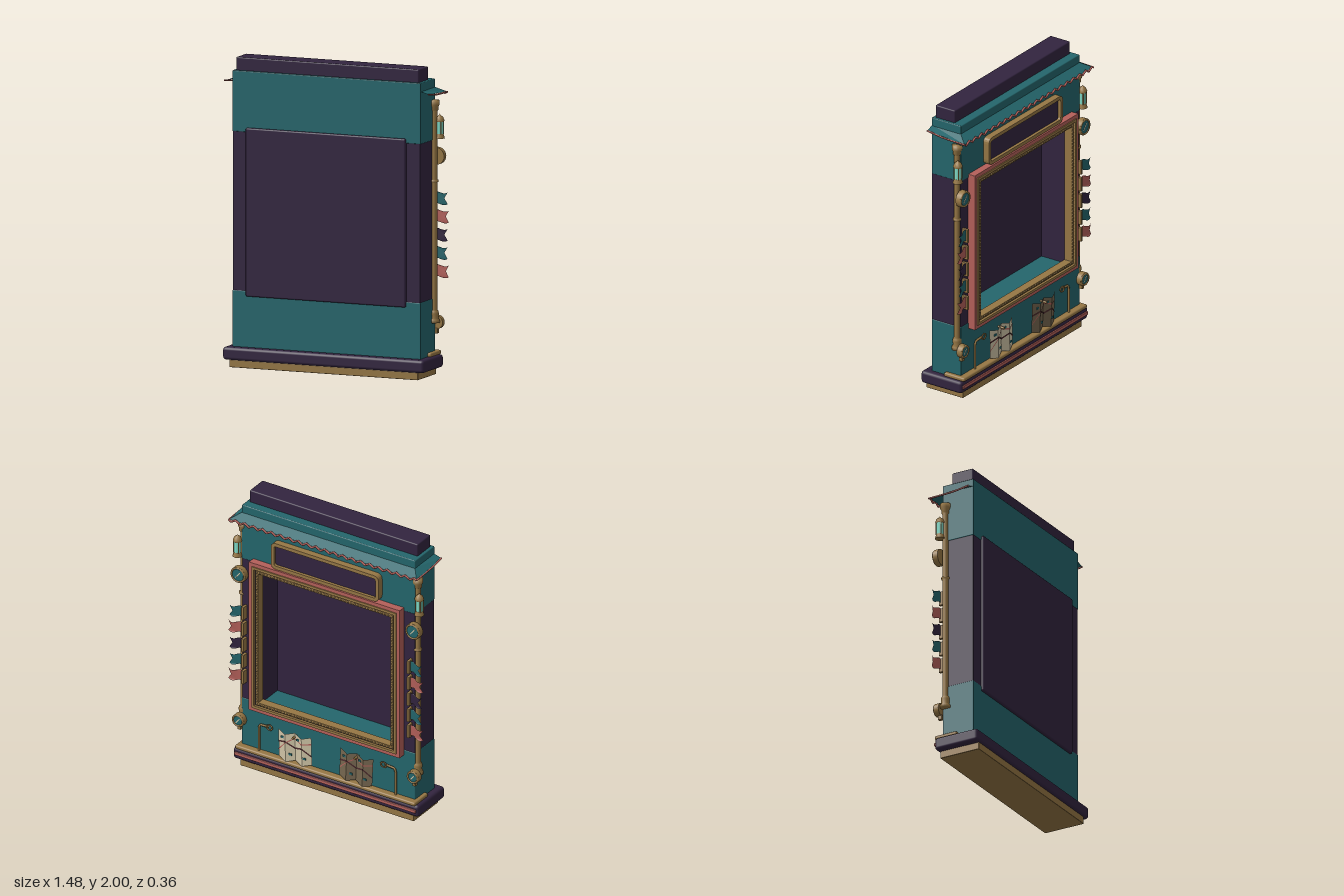
import * as THREE from 'three';
import { RoundedBoxGeometry } from 'three/addons/geometries/RoundedBoxGeometry.js';

function material(name, color, side = THREE.FrontSide) {
  const m = new THREE.MeshStandardMaterial({ color, side });
  m.name = name;
  return m;
}

export function createModel() {
  const root = new THREE.Group();
  root.name = 'displayBooth';
  const D = THREE.DoubleSide;
  const teal = material('teal', 0x24666c, D), purple = material('dark purple', 0x32243f, D);
  const gold = material('old gold', 0x967745), red = material('faded red', 0xb4605a, D);
  const mint = material('mint glass', 0x80dcc8), cream = material('cream paper', 0xcfc4a6, D);
  const brown = material('brown paper', 0x75664f, D), ink = material('dark ink', 0x4a2a2c, D);

  const add = (name, geo, mat, x = 0, y = 0, z = 0, parent = root) => {
    const m = new THREE.Mesh(geo, mat);
    m.name = name;
    m.position.set(x, y, z);
    parent.add(m);
    return m;
  };
  // Rounded block given by its extents
  const block = (name, mat, x0, x1, y0, y1, z0, z1, r = 0.006) =>
    add(name, new RoundedBoxGeometry(x1 - x0, y1 - y0, z1 - z0, 2, r), mat,
      (x0 + x1) / 2, (y0 + y1) / 2, (z0 + z1) / 2);
  const roundRect = (Type, w, h, r) => {
    const s = new Type(), a = w / 2, b = h / 2;
    s.moveTo(-a + r, -b);
    s.lineTo(a - r, -b).quadraticCurveTo(a, -b, a, -b + r);
    s.lineTo(a, b - r).quadraticCurveTo(a, b, a - r, b);
    s.lineTo(-a + r, b).quadraticCurveTo(-a, b, -a, b - r);
    s.lineTo(-a, -b + r).quadraticCurveTo(-a, -b, -a + r, -b);
    return s;
  };
  // Hollow rectangular frame, extruded from z0 to z1
  const frame = (name, mat, w, h, t, y, z0, z1, r = 0.004) => {
    const s = roundRect(THREE.Shape, w, h, r);
    s.holes.push(roundRect(THREE.Path, w - 2 * t, h - 2 * t, Math.max(r - t, 0.003)));
    const g = new THREE.ExtrudeGeometry(s, { depth: z1 - z0, bevelEnabled: false, curveSegments: 5 });
    return add(name, g, mat, 0, y, z0);
  };
  const V = (x, y, z) => new THREE.Vector3(x, y, z);
  const tube = (name, pts, r, mat, n = 24) =>
    add(name, new THREE.TubeGeometry(new THREE.CatmullRomCurve3(pts, false, 'catmullrom', 0.1), n, r, 6), mat);

  // Base
  block('footPlate', gold, -0.66, 0.66, 0, 0.05, -0.122, 0.165, 0.004);
  block('plinth', purple, -0.705, 0.705, 0.047, 0.13, -0.14, 0.178, 0.02);
  block('plinthStripe', red, -0.69, 0.69, 0.08, 0.103, -0.15, -0.13, 0.004);
  block('ledge', gold, -0.685, 0.685, 0.128, 0.155, -0.15, 0.012, 0.01);

  // Cabinet around the open recess
  block('lowerBody', teal, -0.66, 0.66, 0.125, 0.495, -0.105, 0.124);
  block('upperBody', teal, -0.66, 0.66, 1.52, 1.915, -0.105, 0.124);
  for (const s of [-1, 1])
    block('sidePillar', purple, Math.min(s * 0.515, s * 0.657), Math.max(s * 0.515, s * 0.657), 0.49, 1.525, -0.102, 0.122, 0.004);
  block('backPanel', purple, -0.56, 0.56, 0.46, 1.55, 0.09, 0.142, 0.01);
  block('topCap', purple, -0.64, 0.64, 1.91, 2.0, -0.045, 0.108, 0.008);

  // Frame of the opening
  frame('outerFrame', red, 1.15, 1.09, 0.025, 1.0, -0.155, -0.1);
  frame('middleFrame', gold, 1.1, 1.04, 0.018, 1.0, -0.162, -0.1);
  frame('frameGroove', purple, 1.066, 1.006, 0.01, 1.0, -0.145, -0.1);
  frame('innerFrame', gold, 1.048, 0.99, 0.02, 1.0, -0.153, -0.095);
  // Beads along the inner frame
  const beadGeo = new THREE.SphereGeometry(0.007, 6, 4), beads = [];
  for (let i = 0; i <= 40; i++) {
    const t = i / 20 - 1;
    for (const s of [-1, 1]) beads.push([t * 0.514, 1 + s * 0.485], [s * 0.514, 1 + t * 0.485]);
  }
  for (const [x, y] of beads) add('frameBead', beadGeo, gold, x, y, -0.154);

  // Blank sign above the opening
  frame('signFrame', gold, 0.82, 0.19, 0.024, 1.645, -0.15, -0.1, 0.04);
  add('signPanel', new THREE.ExtrudeGeometry(roundRect(THREE.Shape, 0.79, 0.16, 0.03),
    { depth: 0.03, bevelEnabled: false }), purple, 0, 1.645, -0.13);

  // Canopy sloping out on three sides
  const inner = [[-0.655, 1.862, 0.12], [-0.655, 1.862, -0.1], [0.655, 1.862, -0.1], [0.655, 1.862, 0.12]];
  const outer = [[-0.714, 1.845, 0.12], [-0.714, 1.824, -0.172], [0.714, 1.824, -0.172], [0.714, 1.845, 0.12]];
  const verts = [];
  for (let i = 0; i < 3; i++)
    for (const p of [inner[i], inner[i + 1], outer[i], outer[i], inner[i + 1], outer[i + 1]]) verts.push(...p);
  const roof = new THREE.BufferGeometry();
  roof.setAttribute('position', new THREE.Float32BufferAttribute(verts, 3));
  roof.computeVertexNormals();
  add('canopy', roof, teal);
  for (const s of [-1, 1])
    tube('canopySideTrim', [V(s * 0.714, 1.845, 0.12), V(s * 0.714, 1.828, 0), V(s * 0.714, 1.822, -0.172)], 0.006, red, 10);
  const wave = [];
  for (let i = 0; i <= 84; i++) wave.push(V(-0.714 + 1.428 * i / 84, 1.822 + 0.01 * Math.sin(i * Math.PI / 2), -0.174));
  tube('canopyFrontTrim', wave, 0.007, red, 168);

  // Swallow-tailed flag, slightly waved
  const flagGeo = (w) => {
    const top = [], bottom = [];
    for (let i = 0; i <= 6; i++) {
      const x = w * i / 6, y = 0.008 * Math.sin(i * 1.05);
      top.push(new THREE.Vector2(x, y + 0.038));
      bottom.unshift(new THREE.Vector2(x, y - 0.038));
    }
    const g = new THREE.ShapeGeometry(new THREE.Shape([...top, new THREE.Vector2(w - 0.025, 0), ...bottom]));
    const p = g.attributes.position;
    for (let i = 0; i < p.count; i++) p.setZ(i, 0.008 * Math.sin(p.getX(i) * 55));
    g.computeVertexNormals();
    return g;
  };
  const lathe = (pts, n = 16) => new THREE.LatheGeometry(pts.map(([r, y]) => new THREE.Vector2(r, y)), n);
  const postGeo = lathe([[0, 0.34], [0.037, 0.34], [0.034, 0.36], [0.026, 0.37], [0.03, 0.4], [0.026, 0.415],
    [0.019, 0.425], [0.019, 1.245], [0.027, 1.25], [0.027, 1.262], [0.019, 1.267], [0.019, 1.71], [0.026, 1.715],
    [0.026, 1.735], [0.034, 1.75], [0.034, 1.778], [0, 1.784]]);
  const lampCap = lathe([[0.028, 0], [0.031, 0.008], [0.022, 0.03], [0.008, 0.04], [0, 0.05]], 10);
  const discGeo = (r, h) => new THREE.CylinderGeometry(r, r, h, 24).rotateX(Math.PI / 2);

  for (const s of [-1, 1]) {
    add('cornerPost', postGeo, gold, s * 0.665, 0, -0.08);
    // Lantern
    add('lanternBase', new THREE.CylinderGeometry(0.024, 0.033, 0.03, 10), gold, s * 0.692, 1.545, -0.105);
    add('lanternGlass', new THREE.CylinderGeometry(0.023, 0.023, 0.08, 10), mint, s * 0.692, 1.6, -0.105);
    add('lanternCap', lampCap, gold, s * 0.692, 1.638, -0.105);
    for (let i = 0; i < 4; i++) {
      const a = Math.PI / 4 + i * Math.PI / 2;
      add('lanternBar', new THREE.CylinderGeometry(0.004, 0.004, 0.085, 5), gold,
        s * 0.692 + 0.025 * Math.cos(a), 1.6, -0.105 + 0.025 * Math.sin(a));
    }
    // Round dials
    for (const [y, r] of [[1.412, 0.056], [0.337, 0.045]]) {
      add('dialBody', discGeo(r, 0.034), gold, s * 0.665, y, -0.124);
      add('dialRim', new THREE.TorusGeometry(r - 0.007, 0.007, 6, 24), gold, s * 0.665, y, -0.142);
      add('dialFace', discGeo(r - 0.014, 0.004), teal, s * 0.665, y, -0.1425);
      const hand = add('dialHand', new THREE.BoxGeometry(0.006, r, 0.004), cream, s * 0.665, y, -0.145);
      hand.rotation.z = 0.7;
    }
    block('dialStem', gold, s * 0.665 - 0.012, s * 0.665 + 0.012, 0.265, 0.3, -0.13, -0.1, 0.004);
    // Flags and their brackets
    [teal, red, purple, teal, red].forEach((mat, i) => {
      const f = add('flag', flagGeo(mat === red ? 0.115 : 0.105), mat, s * 0.627, 1.138 - i * 0.118, -0.135);
      f.scale.x = s;
      block('flagBracket', gold, s * 0.63 - 0.01, s * 0.63 + 0.01, 1.09 - i * 0.118, 1.186 - i * 0.118, -0.145, -0.1, 0.004);
    });
    // Pipe with a small valve
    tube('pipe', [V(s * 0.52, 0.15, -0.118), V(s * 0.52, 0.32, -0.118), V(s * 0.51, 0.345, -0.118), V(s * 0.44, 0.35, -0.118)], 0.008, gold);
    const valve = add('valveWheel', new THREE.TorusGeometry(0.018, 0.005, 6, 14), gold, s * 0.435, 0.352, -0.128);
    valve.scale.x = 1.2;
  }

  // Folded maps: four pleats with routes and markers
  const W = 0.25, pleat = (x) => 0.022 * Math.abs(((x / W + 0.5) * 2) % 1 - 0.5) * 2;
  const strip = (pts, t) => { // ribbon of height t that follows the pleats
    const v = [];
    for (let i = 0; i + 1 < pts.length; i++) {
      const [a, b] = [pts[i], pts[i + 1]];
      const q = (p, d) => [p[0], p[1] + d * t / 2, pleat(p[0])];
      for (const c of [q(a, -1), q(a, 1), q(b, 1), q(a, -1), q(b, 1), q(b, -1)]) v.push(...c);
    }
    const g = new THREE.BufferGeometry();
    g.setAttribute('position', new THREE.Float32BufferAttribute(v, 3));
    g.computeVertexNormals();
    return g;
  };
  const folds = (ys) => ys.map((y, i) => [(i / 4 - 0.5) * W, y]);
  for (const [x, mat, tilt] of [[0.24, cream, -0.03], [-0.225, brown, 0.05]]) {
    const map = new THREE.Group();
    map.name = 'foldedMap';
    map.position.set(x, 0.262, -0.147);
    map.rotation.z = tilt;
    root.add(map);
    add('mapSheet', strip(folds([0.008, -0.008, 0.008, -0.008, 0.008]), 0.2), mat, 0, 0, 0, map);
    add('mapRoute', strip(folds([-0.03, 0.02, 0.0, 0.04, 0.02]), 0.012), ink, 0, 0, -0.003, map);
    add('mapRoute', strip(folds([0.06, 0.05, 0.07, 0.03, -0.04]), 0.008), red, 0, 0, -0.003, map);
    for (const [mx, my] of [[-0.08, -0.05], [0.03, -0.05], [0.085, 0.065], [-0.03, 0.07]])
      add('mapMarker', new THREE.BoxGeometry(0.022, 0.014, 0.005), teal, mx, my, pleat(mx) - 0.003, map);
    add('mapPin', new THREE.CylinderGeometry(0.008, 0.008, 0.05, 8).rotateX(Math.PI / 2), gold, 0, 0.08, 0.02, map);
  }
  return root;
}
